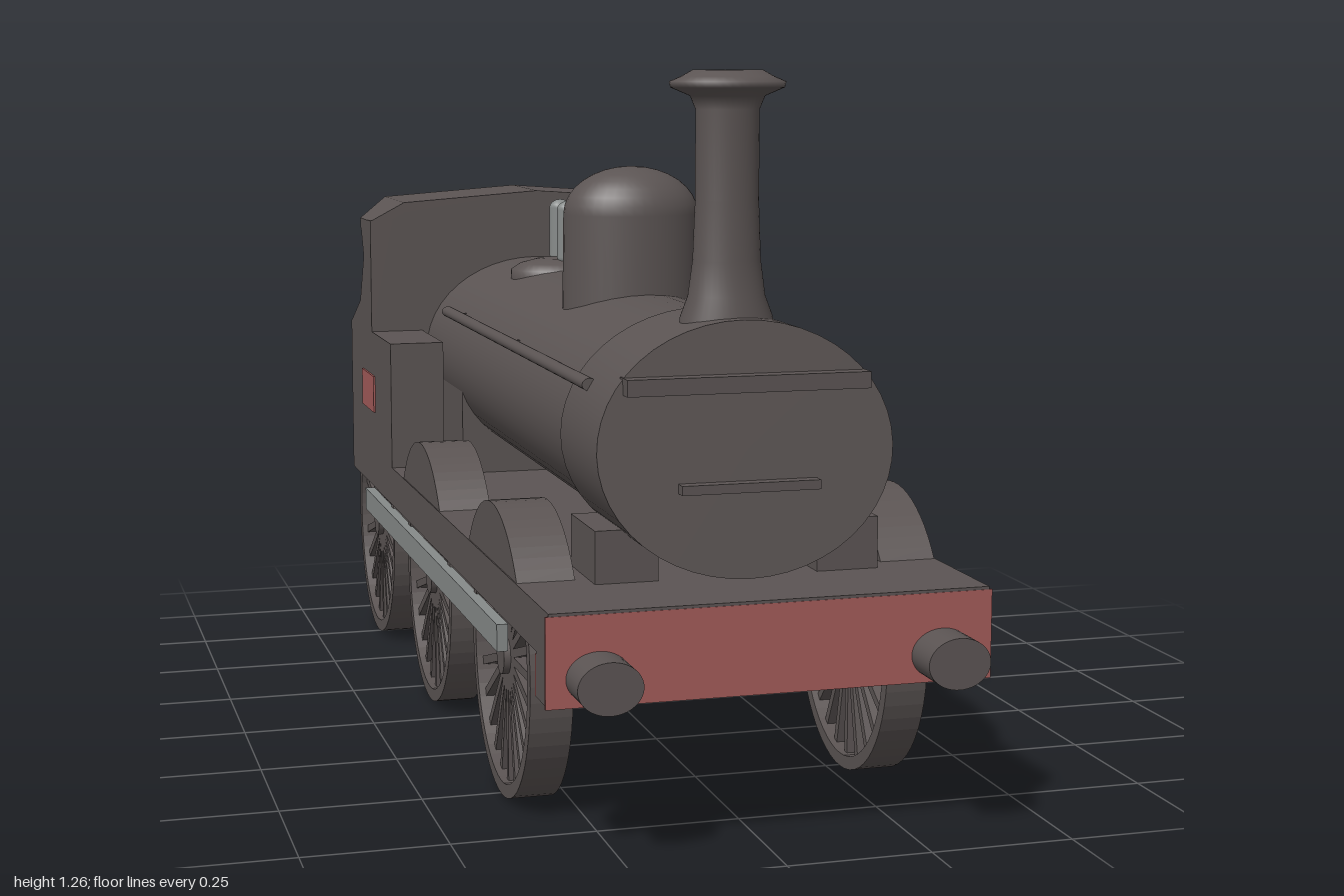
import * as THREE from 'three';

export function createModel() {
  const root = new THREE.Group();
  root.name = 'steamLocomotive';
  const mat = (name, color) => {
    const m = new THREE.MeshStandardMaterial({ color });
    m.name = name;
    return m;
  };
  const iron = mat('darkIron', 0x5b5453);
  const red = mat('beamRed', 0xa35b59);
  const steel = mat('steelGrey', 0x868a89);

  const add = (name, geo, m = iron, parent = root) => {
    const mesh = new THREE.Mesh(geo, m);
    mesh.name = name;
    parent.add(mesh);
    return mesh;
  };
  // Box given by its limits on each axis
  const box = (name, x0, x1, y0, y1, z0, z1, m = iron, parent = root) =>
    add(name, new THREE.BoxGeometry(x1 - x0, y1 - y0, z1 - z0)
      .translate((x0 + x1) / 2, (y0 + y1) / 2, (z0 + z1) / 2), m, parent);
  // Box placed on both sides
  const pair = (name, x0, x1, y0, y1, z0, z1, m = iron) => {
    box(name + 'Left', x0, x1, y0, y1, z0, z1, m);
    box(name + 'Right', -x1, -x0, y0, y1, z0, z1, m);
  };
  // Elliptical cylinder lying along z
  const barrel = (rx, ry, y, z0, z1) => new THREE.CylinderGeometry(1, 1, z1 - z0, 48)
    .rotateX(Math.PI / 2).scale(rx, ry, 1).translate(0, y, (z0 + z1) / 2);
  // Lathe turned about y and widened across the engine
  const turned = (name, pts, z) => {
    const g = new THREE.LatheGeometry(pts.map(p => new THREE.Vector2(p[0], p[1])), 40);
    add(name, g.scale(1.33, 1, 1).translate(-0.008, 0, z));
  };

  // Running board, underside and buffer beam
  box('runningBoard', -0.375, 0.375, 0.34, 0.42, -0.985, 0.925);
  box('underside', -0.365, 0.365, 0.334, 0.34, -0.97, 0.84, red);
  box('bufferBeam', -0.375, 0.375, 0.265, 0.415, 0.84, 0.92);
  box('beamFace', -0.38, 0.38, 0.265, 0.415, 0.92, 0.926, red);
  box('beamBack', -0.375, 0.375, 0.265, 0.335, 0.834, 0.84, red);
  for (const x of [-0.293, 0.293]) {
    add('buffer', barrel(0.054, 0.043, 0.312, 0.92, 1.0)).position.x = x;
  }

  // Boiler, and smokebox with a raked front
  add('boiler', barrel(0.247, 0.198, 0.645, -0.705, 0.57)).position.x = -0.005;
  const smokebox = barrel(0.257, 0.213, 0.645, 0.555, 0.797);
  const p = smokebox.attributes.position;
  for (let i = 0; i < p.count; i++) {
    if (p.getZ(i) > 0.7) p.setZ(i, p.getZ(i) - 0.095 * (p.getY(i) - 0.645));
  }
  smokebox.computeVertexNormals();
  add('smokebox', smokebox).position.x = -0.005;
  pair('smokeboxSaddle', 0.14, 0.25, 0.42, 0.51, 0.58, 0.74);
  box('doorRail', -0.215, 0.205, 0.742, 0.77, 0.77, 0.815);
  box('doorStrap', -0.125, 0.115, 0.578, 0.594, 0.79, 0.825);
  box('firebox', -0.243, 0.243, 0.42, 0.645, -0.705, -0.365);
  for (const x of [-0.235, 0.235]) {
    add('handrail', barrel(0.013, 0.011, 0.742, -0.55, 0.65)).position.x = x;
    for (const z of [-0.45, 0.05, 0.58]) {
      box('railBracket', Math.sign(x) * 0.215 - 0.02, Math.sign(x) * 0.215 + 0.02, 0.735, 0.748, z - 0.006, z + 0.006);
    }
  }

  // Chimney, dome and safety valves
  turned('chimney', [[0.064, 0.8], [0.06, 0.855], [0.05, 0.89], [0.044, 0.95], [0.041, 1.05],
    [0.041, 1.2], [0.048, 1.222], [0.073, 1.236], [0.075, 1.246], [0.06, 1.254], [0.045, 1.265],
    [0.036, 1.265], [0.034, 1.24], [0, 1.24]], 0.69);
  const dome = [[0.1, 0.78], [0.098, 0.99]];
  for (let i = 1; i <= 8; i++) {
    const a = i / 8 * Math.PI / 2;
    dome.push([0.098 * Math.cos(a), 0.99 + 0.09 * Math.sin(a)]);
  }
  turned('steamDome', dome, 0.097);
  turned('valveBase', [[0.085, 0.82], [0.085, 0.84], [0.07, 0.853], [0.04, 0.863], [0, 0.865]], -0.43);
  for (const z of [-0.393, -0.46]) {
    add('safetyValve', new THREE.CapsuleGeometry(0.018, 0.1, 4, 12).scale(1.3, 1, 1), steel)
      .position.set(-0.008, 0.917, z);
  }

  // Splashers over the front wheels
  const splasher = new THREE.Shape();
  for (let i = 0; i <= 20; i++) {
    const a = 0.67 + (Math.PI - 1.34) * i / 20;
    splasher[i ? 'lineTo' : 'moveTo'](0.245 * Math.cos(a), 0.25 + 0.273 * Math.sin(a));
  }
  const wheelZ = [0.505, -0.153, -0.77];
  const splasherGeo = new THREE.ExtrudeGeometry(splasher, { depth: 0.1, bevelEnabled: false })
    .rotateY(Math.PI / 2);
  for (const z of wheelZ.slice(0, 2)) {
    for (const x of [0.273, -0.373]) add('splasher', splasherGeo).position.set(x, 0, z);
  }

  // Cab: side sheets, front wall, floor and seat
  const sheet = new THREE.Shape([[0.705, 0.68], [0.705, 0.93], [0.84, 0.925], [0.8, 0.845],
    [0.855, 0.74], [0.985, 0.68]].map(q => new THREE.Vector2(q[0], q[1])));
  const sheetGeo = new THREE.ExtrudeGeometry(sheet, { depth: 0.05, bevelEnabled: false })
    .rotateY(Math.PI / 2);
  for (const x of [0.325, -0.375]) add('cabSideSheet', sheetGeo).position.x = x;
  pair('sideTank', 0.262, 0.375, 0.42, 0.685, -0.72, -0.47);
  pair('cabLowerSide', 0.29, 0.375, 0.375, 0.682, -0.985, -0.7);
  box('cabFloor', -0.36, 0.36, 0.41, 0.46, -0.985, -0.7);
  box('cabBench', -0.29, 0.29, 0.46, 0.56, -0.79, -0.72);
  const wall = new THREE.Shape([[-0.37, 0.42], [0.37, 0.42], [0.37, 0.915], [0.3, 0.955],
    [0, 0.975], [-0.3, 0.955], [-0.37, 0.915]].map(q => new THREE.Vector2(q[0], q[1])));
  add('cabFrontWall', new THREE.ExtrudeGeometry(wall, { depth: 0.03, bevelEnabled: false }))
    .position.z = -0.736;
  pair('numberPlate', 0.374, 0.379, 0.51, 0.59, -0.82, -0.67, red);

  // Arched roof with cut-back rear corners
  const roof = new THREE.BoxGeometry(4, 0.022, 1, 4, 1, 1).toNonIndexed();
  const r = roof.attributes.position;
  const roofX = [0, 0.3, 0.375], roofY = [0.979, 0.957, 0.917], roofBack = [-0.945, -0.945, -0.835];
  for (let i = 0; i < r.count; i++) {
    const k = Math.round(Math.abs(r.getX(i)));
    r.setXYZ(i, Math.sign(r.getX(i)) * roofX[k], roofY[k] + r.getY(i),
      r.getZ(i) > 0 ? -0.704 : roofBack[k]);
  }
  roof.computeVertexNormals();
  add('cabRoof', roof);

  // Ash pan below the firebox
  box('ashPan', -0.245, 0.245, 0.077, 0.335, -0.75, -0.4);

  // Spoked wheels, axles and coupling rods
  const rim = new THREE.Shape().absarc(0, 0, 0.227, 0, Math.PI * 2);
  rim.holes.push(new THREE.Path().absarc(0, 0, 0.205, 0, Math.PI * 2, true));
  const rimGeo = new THREE.ExtrudeGeometry(rim, { depth: 0.074, bevelEnabled: false, curveSegments: 28 })
    .translate(0, 0, -0.037).rotateY(Math.PI / 2);
  const hubGeo = new THREE.CylinderGeometry(0.03, 0.03, 0.074, 20).rotateZ(Math.PI / 2);
  const spokeGeo = new THREE.BoxGeometry(0.05, 0.19, 0.014).translate(0, 0.117, 0);
  const axleGeo = new THREE.CylinderGeometry(0.022, 0.022, 0.7, 16).rotateZ(Math.PI / 2);
  for (const z of wheelZ) {
    for (const x of [-0.322, 0.312]) {
      const wheel = new THREE.Group();
      wheel.name = 'wheel';
      add('rim', rimGeo, iron, wheel);
      add('hub', hubGeo, iron, wheel);
      for (let i = 0; i < 24; i++) {
        add('spoke', spokeGeo, iron, wheel).rotation.x = i / 24 * Math.PI * 2;
      }
      wheel.position.set(x, 0.25, z);
      wheel.scale.y = 0.25 / 0.227;
      root.add(wheel);
    }
    add('axle', axleGeo).position.set(0, 0.25, z);
  }
  pair('couplingRod', 0.355, 0.375, 0.268, 0.316, -0.82, 0.55, steel);

  return root;
}
